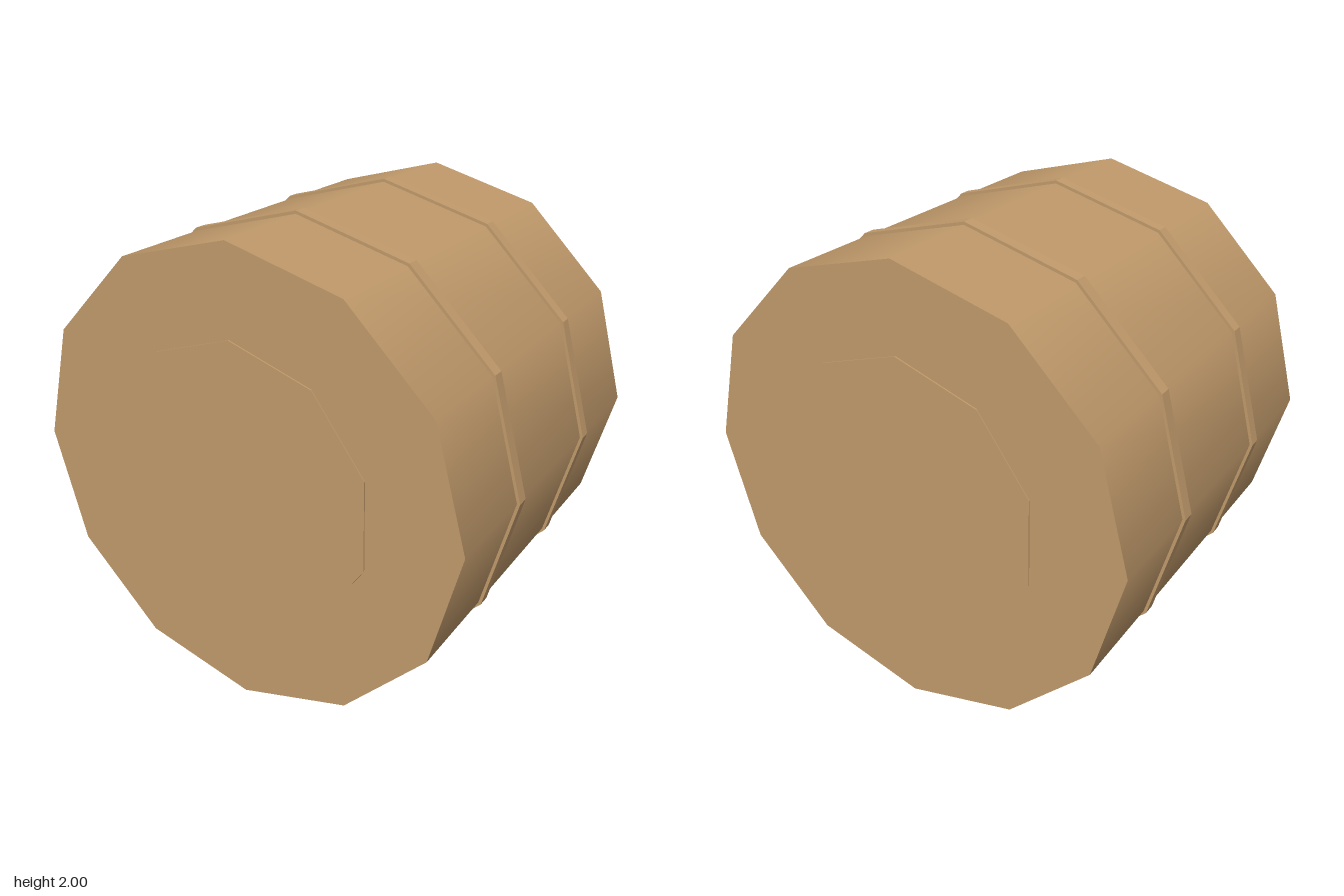
import * as THREE from 'three';

export function createModel() {
  const group = new THREE.Group();
  const tan = new THREE.MeshStandardMaterial({ color: 0xc19a6b });
  tan.name = 'tan';

  // Prism lying along z, centred at height 1
  function drum(name, radius, depth, sides, z, flat) {
    let geometry = new THREE.CylinderGeometry(radius, radius, depth, sides).rotateX(Math.PI / 2);
    if (flat) {
      geometry = geometry.toNonIndexed();
      geometry.computeVertexNormals();
    }
    const mesh = new THREE.Mesh(geometry, tan);
    mesh.name = name;
    mesh.position.set(0, 1, z);
    group.add(mesh);
  }

  // Smooth-sided body
  drum('body', 0.987, 1.64, 12, 0, false);

  // Raised hoops and thin end plates, mirrored front to back
  for (const [side, s] of [['front', 1], ['back', -1]]) {
    drum(side + 'Hoop', 1, 0.054, 12, s * 0.342, true);
    drum(side + 'EndPlate', 0.613, 0.008, 10, s * 0.822, true);
  }
  return group;
}
